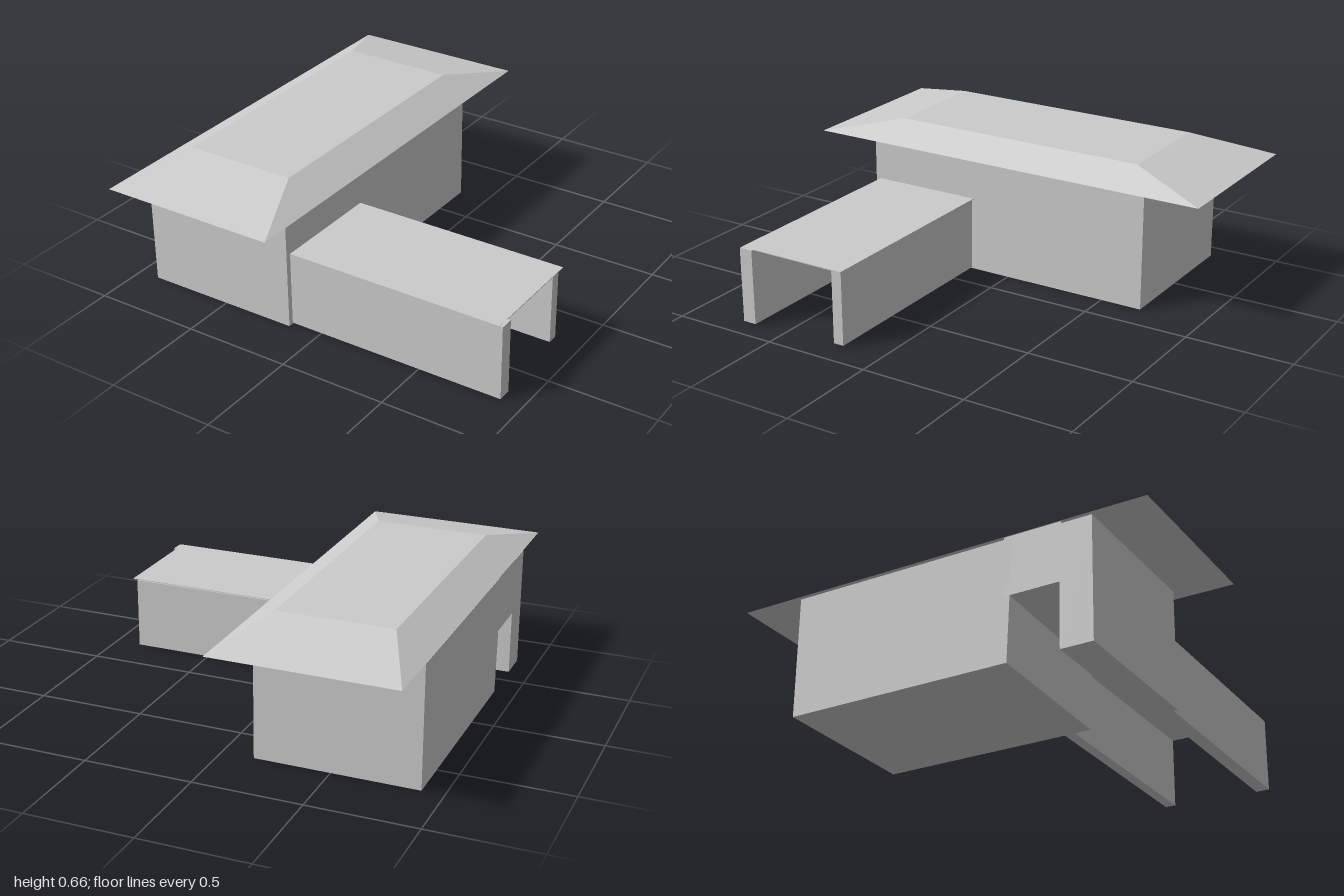
import * as THREE from 'three';

const material = new THREE.MeshStandardMaterial({ color: 0xcccccc, flatShading: true });

// Box given by its limits on each axis
function block(name, [x0, x1], [y0, y1], [z0, z1]) {
  const geo = new THREE.BoxGeometry(x1 - x0, y1 - y0, z1 - z0);
  geo.translate((x0 + x1) / 2, (y0 + y1) / 2, (z0 + z1) / 2);
  const mesh = new THREE.Mesh(geo, material);
  mesh.name = name;
  return mesh;
}

// Move the corners of a mesh by a rule
function reshape(mesh, rule) {
  const pos = mesh.geometry.attributes.position;
  const v = new THREE.Vector3();
  for (let i = 0; i < pos.count; i++) {
    rule(v.fromBufferAttribute(pos, i));
    pos.setXYZ(i, v.x, v.y, v.z);
  }
  mesh.geometry.computeVertexNormals();
  return mesh;
}

export function createModel() {
  const model = new THREE.Group();
  const houseX = [-0.9, -0.15];

  // House: large rear block, front block and the piece bridging the passage
  const rear = block('rearHouse', houseX, [0, 0.565], [-0.7, 0.35]);
  reshape(rear, v => {
    // the passage wall runs slightly askew and leans a little
    if (v.z > 0) v.z = (v.x < -0.5 ? 0.358 : 0.333) + (v.y > 0.3 ? 0.022 : 0);
  });
  model.add(
    rear,
    block('frontHouse', houseX, [0, 0.565], [0.6, 0.75]),
    block('passageLintel', houseX, [0.3, 0.575], [0.34, 0.61])
  );

  // Hipped roof with a flat top
  const roof = block('houseRoof', [-0.905, -0.065], [0.575, 0.66], [-1, 1]);
  reshape(roof, v => {
    if (v.y > 0.6) {
      v.x = v.x < -0.5 ? -0.748 : -0.217;
      v.z = Math.sign(v.z) * 0.625;
    }
  });
  model.add(roof);

  // Covered walkway: two long walls under a thin roof
  const walkway = new THREE.Group();
  walkway.name = 'walkway';
  walkway.add(
    block('walkwayFrontWall', [-0.15, 0.9], [0.005, 0.355], [0.66, 0.725]),
    block('walkwayBackWall', [-0.15, 0.87], [0.005, 0.345], [0.2, 0.25]),
    block('walkwayRoof', [-0.15, 0.885], [0.352, 0.356], [0.19, 0.725])
  );
  model.add(walkway);
  return model;
}
